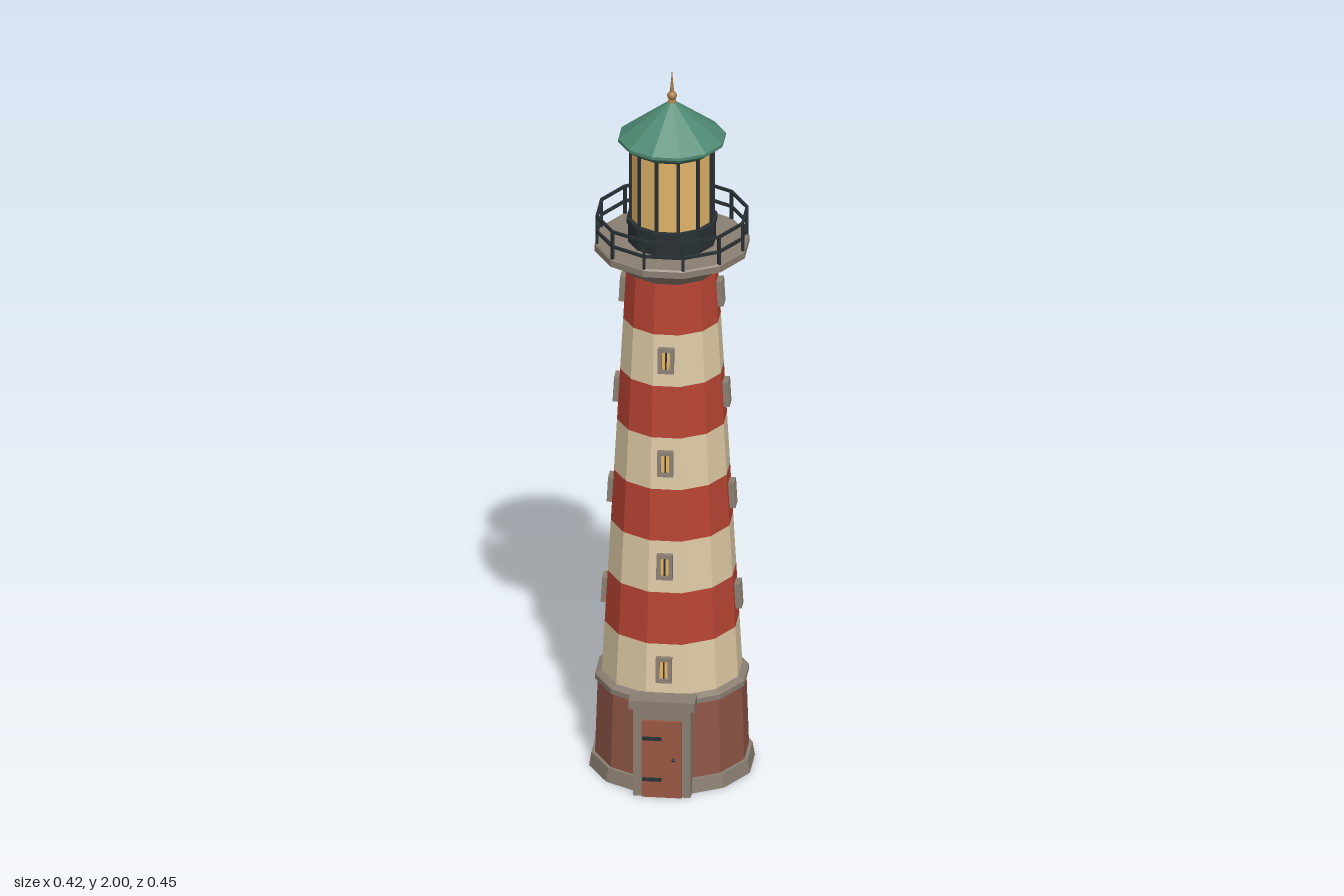
import * as THREE from 'three';

const SIDES = 12;
const STEP = (Math.PI * 2) / SIDES;
const FLAT = 1 / Math.cos(STEP / 2); // flat-to-flat radius -> corner radius

function material(name, color) {
  const m = new THREE.MeshStandardMaterial({ color });
  m.name = name;
  return m;
}

export function createModel() {
  const stone = material('stone', 0x8b7f72);
  const brick = material('brick', 0x8f5747);
  const red = material('red paint', 0xb84433);
  const cream = material('cream paint', 0xdfcba6);
  const iron = material('dark iron', 0x283033);
  const glass = material('lamp glass', 0xe0b468);
  const green = material('roof green', 0x4f8a73);
  const brass = material('brass', 0xa97c48);
  const wood = material('door wood', 0x9a5843);

  const model = new THREE.Group();
  model.name = 'lighthouse';
  const tower = new THREE.Group();
  tower.name = 'tower';
  tower.position.z = -0.016;
  model.add(tower);

  function add(parent, name, geometry, mat, x = 0, y = 0, z = 0) {
    const mesh = new THREE.Mesh(geometry, mat);
    mesh.name = name;
    mesh.position.set(x, y, z);
    parent.add(mesh);
    return mesh;
  }
  const box = (w, h, d) => new THREE.BoxGeometry(w, h, d);

  // Faceted solid of revolution; profile is [flat radius, y] from bottom to top
  function ring(parent, name, profile, mat, sides = SIDES) {
    const k = sides === SIDES ? FLAT : 1;
    const points = profile.map(([r, y]) => new THREE.Vector2(r * k, y));
    const geometry = new THREE.LatheGeometry(points, sides, Math.PI / sides).toNonIndexed();
    geometry.computeVertexNormals();
    return add(parent, name, geometry, mat);
  }

  // Base
  ring(tower, 'plinth', [[0, 0], [0.212, 0], [0.206, 0.038], [0.19, 0.038]], stone);
  ring(tower, 'brickBase', [[0.197, 0.036], [0.19, 0.252]], brick);
  ring(tower, 'baseLedge', [[0.18, 0.25], [0.197, 0.25], [0.197, 0.264], [0.176, 0.276]], stone);

  // Striped shaft
  const Y0 = 0.27, Y1 = 1.435, R0 = 0.18, R1 = 0.117, BANDS = 8;
  const wall = (y) => R0 + ((R1 - R0) * (y - Y0)) / (Y1 - Y0);
  const bandHeight = (Y1 - Y0) / BANDS;
  for (let i = 0; i < BANDS; i++) {
    const a = Y0 + i * bandHeight, b = a + bandHeight;
    ring(tower, 'shaftBand', [[wall(a), a], [wall(b), b]], i % 2 ? red : cream);
  }

  // Windows: front and back on cream bands, both sides on red bands
  const lean = Math.atan((R0 - R1) / (Y1 - Y0));
  function addWindow(y, angle) {
    const pivot = new THREE.Group();
    pivot.name = 'window';
    pivot.rotation.y = angle;
    tower.add(pivot);
    const w = new THREE.Group();
    w.name = 'windowFrame';
    w.position.set(0, y, wall(y));
    w.rotation.x = -lean;
    pivot.add(w);
    for (const s of [-1, 1]) {
      add(w, 'windowJamb', box(0.01, 0.07, 0.026), stone, s * 0.016, 0, 0.003);
      add(w, 'windowRail', box(0.022, 0.01, 0.026), stone, 0, s * 0.03, 0.003);
    }
    add(w, 'windowPane', box(0.022, 0.05, 0.008), glass, 0, 0, 0.003);
    add(w, 'windowBar', box(0.004, 0.05, 0.006), iron, 0, 0, 0.008);
  }
  for (let i = 0; i < BANDS; i++) {
    const turn = i % 2 ? Math.PI / 2 : 0;
    const y = Y0 + (i + 0.52) * bandHeight;
    addWindow(y, turn);
    addWindow(y, turn + Math.PI);
  }

  // Doorway
  const doorway = new THREE.Group();
  doorway.name = 'doorway';
  model.add(doorway);
  for (const s of [-1, 1]) add(doorway, 'doorJamb', box(0.023, 0.252, 0.052), stone, s * 0.064, 0.126, 0.187);
  add(doorway, 'doorHead', box(0.105, 0.032, 0.05), stone, 0, 0.236, 0.186);
  add(doorway, 'lintel', box(0.174, 0.026, 0.062), stone, 0, 0.265, 0.191);
  add(doorway, 'door', box(0.105, 0.22, 0.057), wood, 0, 0.11, 0.19);
  for (const y of [0.052, 0.17]) add(doorway, 'hingeStrap', box(0.05, 0.009, 0.006), iron, -0.026, y, 0.22);
  add(doorway, 'doorKnob', new THREE.SphereGeometry(0.005, 8, 6), iron, 0.031, 0.11, 0.22);

  // Gallery deck
  ring(tower, 'galleryCorbel', [[0.114, 1.43], [0.19, 1.49]], stone);
  ring(tower, 'galleryDeck', [[0.18, 1.488], [0.198, 1.488], [0.198, 1.506], [0.194, 1.51], [0, 1.51]], stone);

  // Gallery railing
  const RAIL = 0.192, T = 0.0035;
  for (const y of [1.545, 1.588]) {
    ring(tower, 'handrail', [[RAIL - T, y - T], [RAIL + T, y - T], [RAIL + T, y + T],
      [RAIL - T, y + T], [RAIL - T, y - T]], iron);
  }
  // Upright bars at the corners of the twelve-sided plan
  function uprights(name, radius, size, bottom, top) {
    for (let i = 0; i < SIDES; i++) {
      const a = (i + 0.5) * STEP, r = radius * FLAT;
      const bar = add(tower, name, box(size, top - bottom, size), iron,
        Math.sin(a) * r, (bottom + top) / 2, Math.cos(a) * r);
      bar.rotation.y = a;
    }
  }
  uprights('railPost', RAIL, 0.007, 1.508, 1.588);

  // Lantern room
  ring(tower, 'lanternBase', [[0.113, 1.51], [0.113, 1.565], [0.117, 1.565], [0.117, 1.577], [0.1, 1.577]], iron);
  ring(tower, 'lanternGlass', [[0.104, 1.575], [0.104, 1.785]], glass);
  uprights('glazingBar', 0.105, 0.008, 1.575, 1.785);
  ring(tower, 'lanternHead', [[0.1, 1.778], [0.11, 1.778], [0.11, 1.792]], iron);

  // Roof and finial
  ring(tower, 'roof', [[0, 1.787], [0.122, 1.787], [0.1375, 1.8], [0.1375, 1.808], [0, 1.915]], green);
  ring(tower, 'finialCollar', [[0.014, 1.898], [0.01, 1.914], [0, 1.914]], brass, 8);
  add(tower, 'finialBall', new THREE.SphereGeometry(0.013, 10, 8), brass, 0, 1.925, 0);
  ring(tower, 'finialSpike', [[0.006, 1.93], [0.004, 1.955], [0, 2]], brass, 6);

  return model;
}
